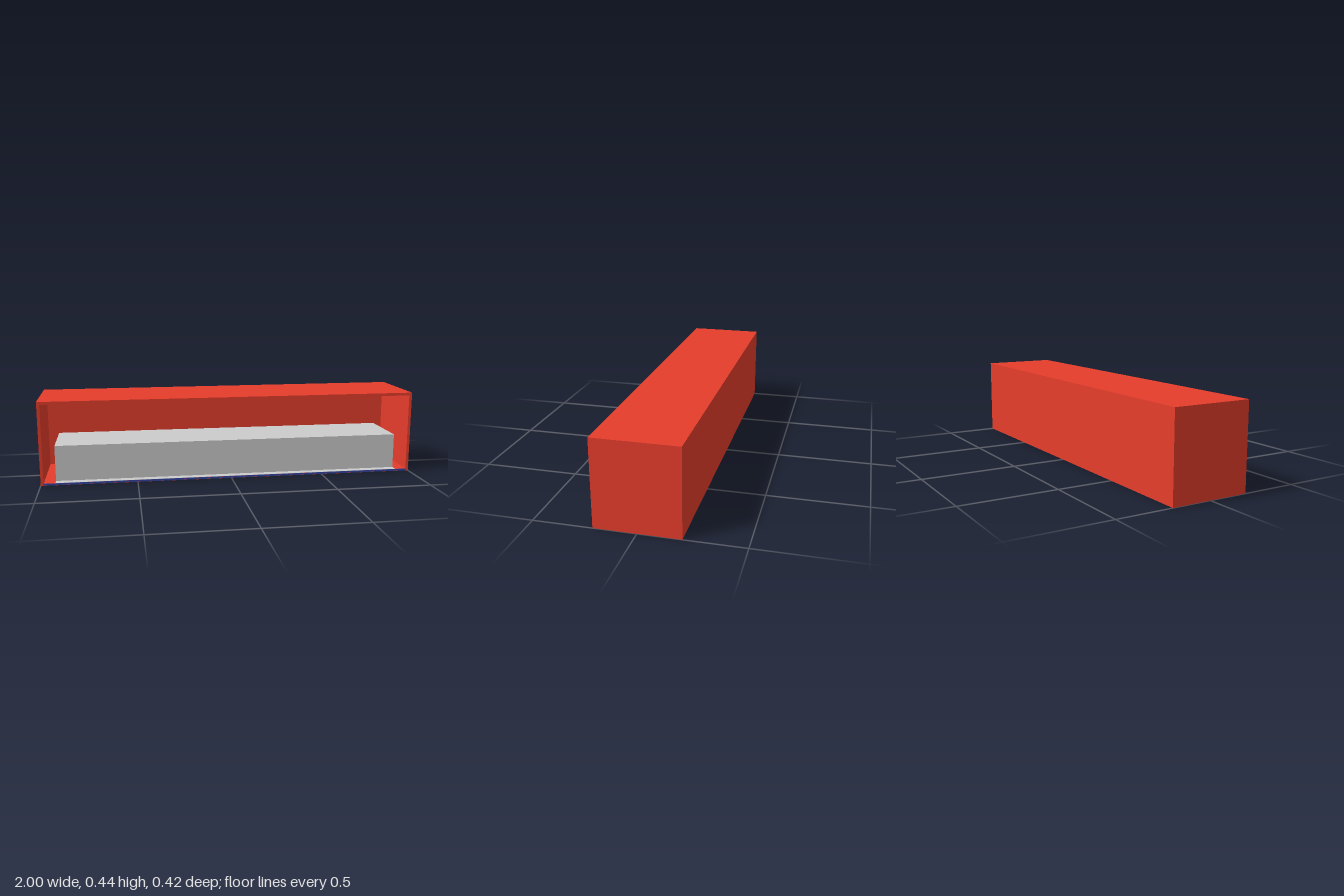
import * as THREE from 'three';

const red = new THREE.MeshStandardMaterial({ color: 0xe63d2c });
const grey = new THREE.MeshStandardMaterial({ color: 0xcccccc });
const blue = new THREE.MeshStandardMaterial({ color: 0x3444a0 });

const W = 1, H = 0.44, D = 0.208;  // half width, height, half depth
const WALL = 0.015, FLOOR = 0.011; // panel thicknesses

// Box given by its minimum and maximum corners
function box(name, material, min, max) {
  const size = max.map((v, i) => v - min[i]);
  const mesh = new THREE.Mesh(new THREE.BoxGeometry(...size), material);
  mesh.position.set(...max.map((v, i) => (v + min[i]) / 2));
  mesh.name = name;
  return mesh;
}

function rectangle(path, x, y0, y1) {
  path.moveTo(-x, y0);
  path.lineTo(x, y0);
  path.lineTo(x, y1);
  path.lineTo(-x, y1);
  path.closePath();
  return path;
}

export function createModel() {
  const group = new THREE.Group();
  group.name = 'openBox';

  // Outer shell: floor, sides and roof as one rectangular frame
  const frame = rectangle(new THREE.Shape(), W, 0, H);
  frame.holes.push(rectangle(new THREE.Path(), W - WALL, FLOOR, H - WALL));
  const shell = new THREE.Mesh(
    new THREE.ExtrudeGeometry(frame, { depth: 2 * D - WALL, bevelEnabled: false }), red);
  shell.position.z = -D + WALL;
  shell.name = 'shell';
  group.add(shell);

  // Closed back
  group.add(box('backPanel', red, [-W, 0, -D], [W, H, -D + WALL]));

  // Coloured front edge of the floor
  group.add(box('floorEdge', blue, [-W + WALL, 0.001, D - 0.002], [W - WALL, FLOOR, D + 0.001]));

  // Long block inside, with a thin ledge before it
  const bx = 0.925, front = 0.167;
  group.add(box('innerBlock', grey, [-bx, FLOOR, -0.158], [bx, 0.2, front]));
  group.add(box('frontLedge', grey, [-bx, FLOOR - 0.002, front], [bx, FLOOR + 0.001, D - 0.001]));

  return group;
}
